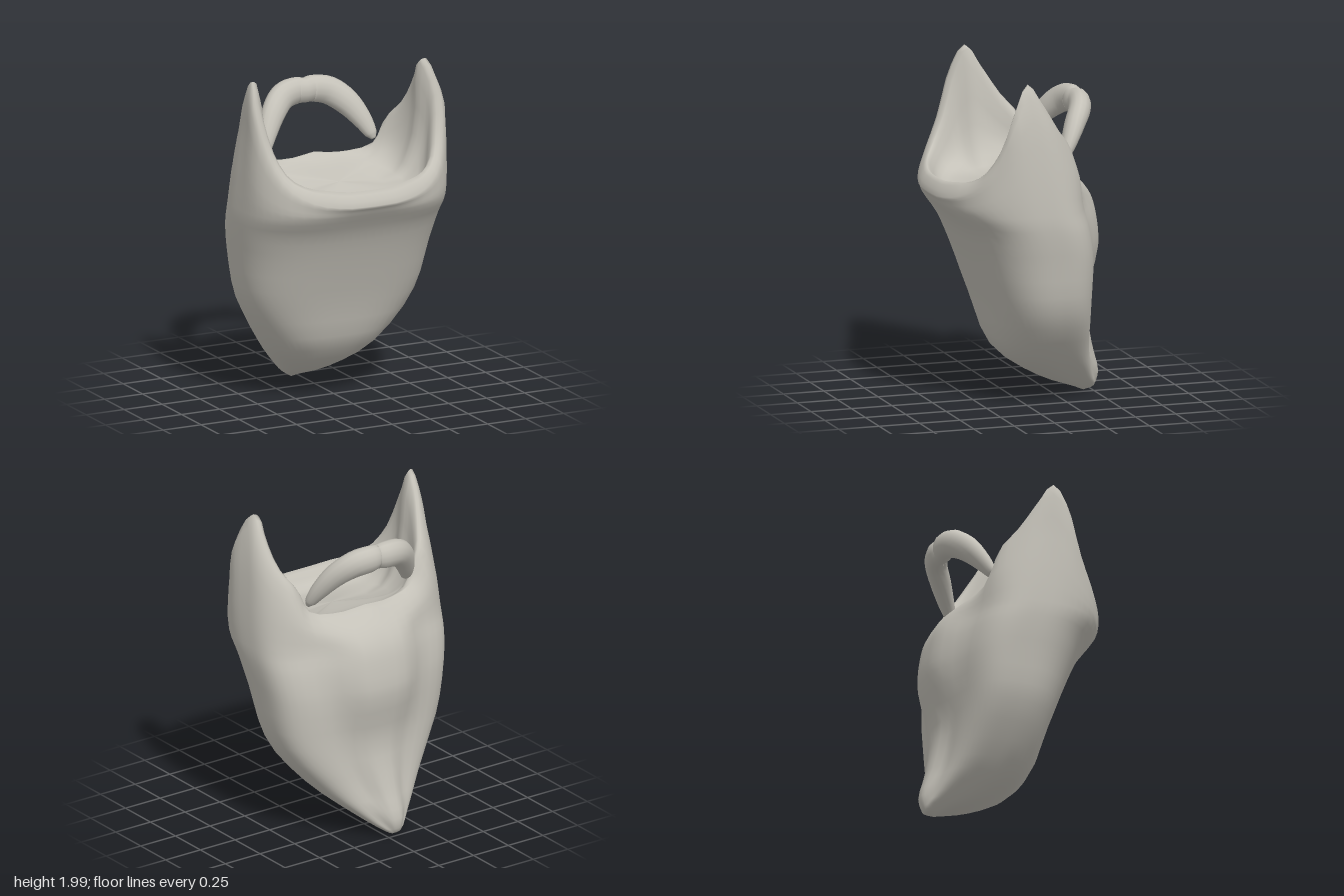
import * as THREE from 'three';

const HALF = 30; // columns from front centre to back centre
const COLS = HALF * 2;

// Skin a list of closed rings (arrays of Vector3) into a smooth surface
function loft(rings) {
  const n = rings[0].length;
  const pos = [];
  const idx = [];
  rings.forEach((ring) => ring.forEach((p) => pos.push(p.x, p.y, p.z)));
  for (let j = 0; j < rings.length - 1; j++) {
    for (let i = 0; i < n; i++) {
      const a = j * n + i;
      const b = j * n + ((i + 1) % n);
      idx.push(a, b, a + n, b, b + n, a + n);
    }
  }
  const g = new THREE.BufferGeometry();
  g.setAttribute('position', new THREE.Float32BufferAttribute(pos, 3));
  g.setIndex(idx);
  g.computeVertexNormals();
  return g;
}

// Half outline of the top rim, front centre -> sideburn tip -> back centre
const rimCurve = new THREE.CatmullRomCurve3([
  [0, 1.27, 0.53], [0.18, 1.275, 0.52], [0.36, 1.31, 0.465], [0.495, 1.4, 0.38],
  [0.57, 1.58, 0.28], [0.605, 1.84, 0.19], [0.58, 1.99, 0.1], [0.575, 1.87, 0.01],
  [0.53, 1.7, -0.1], [0.46, 1.59, -0.185], [0.37, 1.43, -0.21], [0.18, 1.39, -0.24],
  [0, 1.405, -0.26],
].map((p) => new THREE.Vector3(...p)));

// Beard levels: y, front z, back z, half width, central bulge depth, bulge half width
const levels = [
  [0.03, -0.38, -0.51, 0.05, 0, 0.05],
  [0.12, -0.15, -0.53, 0.16, 0.05, 0.07],
  [0.3, 0.105, -0.48, 0.34, 0.06, 0.1],
  [0.6, 0.21, -0.43, 0.54, 0.045, 0.16],
  [0.9, 0.32, -0.49, 0.605, 0.105, 0.25],
  [1.08, 0.4, -0.475, 0.635, 0.12, 0.28],
  [1.21, 0.49, -0.44, 0.645, 0.12, 0.28],
];

// Superellipse outline, squarer at the back, with a bulge down the back centre
function levelPoint([y, zf, zb, w, bulge, bulgeWidth], u) {
  const s = Math.sin(u * Math.PI);
  const c = Math.cos(u * Math.PI);
  const n = c > 0 ? 2.65 : 3.2;
  const r = Math.pow(Math.pow(Math.abs(s), n) + Math.pow(Math.abs(c), n), -1 / n);
  const x = w * r * s;
  const zc = (zf + zb) / 2;
  const reach = c > 0 ? zf - zc : zc - zb - bulge;
  let z = zc + reach * r * c;
  if (c < 0) z -= bulge * Math.exp(-Math.pow(x / bulgeWidth, 4));
  return new THREE.Vector3(x, y, z);
}

// Floor of the hollow falls gently toward the front
const floorY = (z) => 1.32 - 0.2 * z;

// One vertical profile: tip, outside, over the rim, down into the hollow
function column(u) {
  const pts = [new THREE.Vector3(0, 0, -0.45)];
  levels.forEach((l) => pts.push(levelPoint(l, u)));
  const rim = rimCurve.getPoint(u);
  const mid = pts[pts.length - 1].clone().lerp(rim, 0.55);
  mid.x *= 1.03;
  if (mid.z < 0) mid.z *= 1.09;
  pts.push(mid, rim);
  const lip = 0.1 * Math.min(1, Math.max(0, 1.5 - u / 0.27)); // front edge slopes up inward
  const inner = new THREE.Vector3(rim.x * 0.92, rim.y - 0.015 + lip, rim.z * 0.9);
  pts.push(inner);
  const wall = new THREE.Vector3(inner.x * 0.91, 0, inner.z * 0.87);
  wall.y = THREE.MathUtils.lerp(floorY(wall.z), inner.y, 0.35);
  const floor = new THREE.Vector3(inner.x * 0.68, 0, inner.z * 0.66 + 0.02);
  floor.y = floorY(floor.z);
  pts.push(wall, floor, new THREE.Vector3(0, floorY(0.07), 0.07));
  return new THREE.CatmullRomCurve3(pts).getPoints((pts.length - 1) * 3);
}

function beardGeometry() {
  const half = [];
  for (let k = 0; k <= HALF; k++) half.push(column(k / HALF));
  const rings = half[0].map((_, j) => {
    const ring = [];
    for (let i = 0; i < COLS; i++) {
      const p = half[i <= HALF ? i : COLS - i][j].clone();
      if (i > HALF) p.x *= -1;
      // the tip and the sideburns lean slightly to one side
      p.x -= 0.05 * Math.max(0, 1 - p.y / 0.5);
      p.x -= 0.02 * THREE.MathUtils.smoothstep(p.y, 1.7, 2);
      ring.push(p);
    }
    return ring;
  });
  return loft(rings);
}

// Moustache: arched path with a centre notch and tapering ends
function moustacheGeometry() {
  // x, y, z, radius
  const half = [
    [0.05, 1.753, -0.383, 0.081], [0.15, 1.735, -0.36, 0.083], [0.24, 1.667, -0.3, 0.077],
    [0.31, 1.567, -0.237, 0.059], [0.345, 1.49, -0.195, 0.038], [0.355, 1.46, -0.18, 0.014],
  ];
  const all = [
    ...half.map(([x, ...r]) => [-x, ...r]).reverse(),
    [0, 1.75, -0.372, 0.074],
    ...half,
  ];
  const path = new THREE.CatmullRomCurve3(all.map((p) => new THREE.Vector3(p[0], p[1], p[2])));
  const radii = new THREE.CatmullRomCurve3(all.map((p, i) => new THREE.Vector3(i * 0.1, p[3], 0)));
  const rings = [];
  const steps = 48;
  const sides = 14;
  for (let j = -1; j <= steps + 1; j++) {
    const t = THREE.MathUtils.clamp(j / steps, 0, 1);
    const c = path.getPoint(t);
    const d = path.getTangent(t);
    const n = new THREE.Vector3(-d.y, d.x, 0).normalize();
    const b = new THREE.Vector3().crossVectors(d, n);
    const r = j < 0 || j > steps ? 0 : radii.getPoint(t).y;
    const ring = [];
    for (let i = 0; i < sides; i++) {
      const a = (i / sides) * Math.PI * 2;
      ring.push(c.clone().addScaledVector(n, r * Math.cos(a)).addScaledVector(b, 0.8 * r * Math.sin(a)));
    }
    rings.push(ring);
  }
  return loft(rings);
}

export function createModel() {
  const hair = new THREE.MeshStandardMaterial({ color: 0xc4c1b8 });
  hair.name = 'paleGreyHair';
  const model = new THREE.Group();
  model.name = 'beardAndMoustache';
  const add = (name, geometry) => {
    const mesh = new THREE.Mesh(geometry, hair);
    mesh.name = name;
    model.add(mesh);
  };
  add('beard', beardGeometry());
  add('moustache', moustacheGeometry());
  return model;
}
